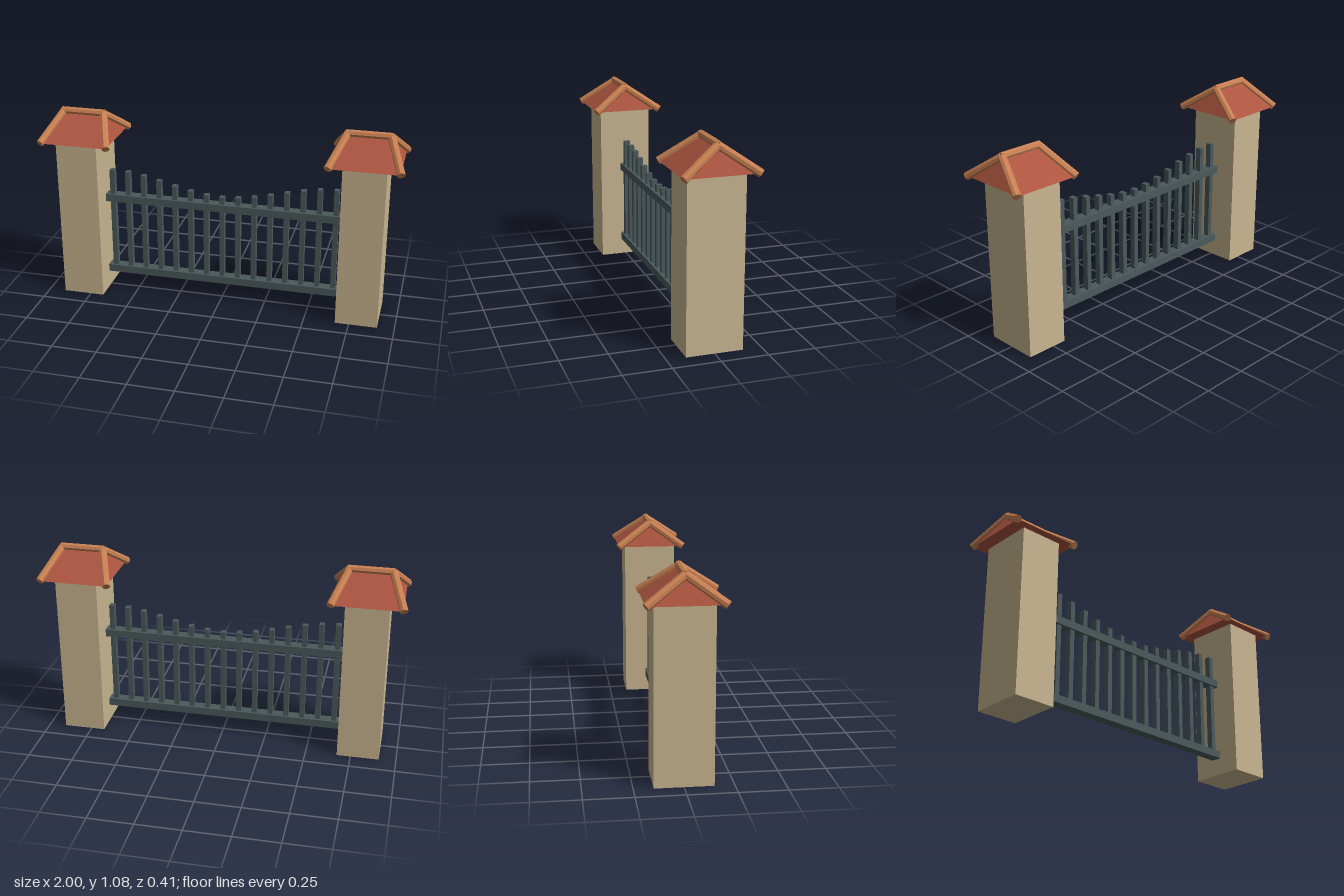
import * as THREE from 'three';

const mat = (name, color) => {
  const m = new THREE.MeshStandardMaterial({ color, flatShading: true });
  m.name = name;
  return m;
};

function add(parent, name, geometry, material, x = 0, y = 0, z = 0) {
  const mesh = new THREE.Mesh(geometry, material);
  mesh.name = name;
  mesh.position.set(x, y, z);
  parent.add(mesh);
  return mesh;
}

// Round tile log between two points
function addLog(parent, name, a, b, radius, material) {
  const dir = b.clone().sub(a);
  const log = add(parent, name, new THREE.CylinderGeometry(radius, radius, dir.length(), 8), material);
  log.position.copy(a).add(b).multiplyScalar(0.5);
  log.quaternion.setFromUnitVectors(new THREE.Vector3(0, 1, 0), dir.normalize());
}

// Hipped roof: rectangular base rising to a ridge along x
function hipRoof(halfX, halfZ, ridgeHalf, height) {
  const geometry = new THREE.BufferGeometry();
  geometry.setAttribute('position', new THREE.Float32BufferAttribute([
    -halfX, 0, halfZ, halfX, 0, halfZ, halfX, 0, -halfZ, -halfX, 0, -halfZ,
    -ridgeHalf, height, 0, ridgeHalf, height, 0,
  ], 3));
  geometry.setIndex([
    0, 1, 5, 0, 5, 4, // front slope
    2, 3, 4, 2, 4, 5, // back slope
    1, 2, 5, 3, 0, 4, // hip ends
    0, 3, 2, 0, 2, 1, // underside
  ]);
  const flat = geometry.toNonIndexed();
  flat.computeVertexNormals();
  return flat;
}

export function createModel() {
  const stone = mat('sandstone', 0xc9b691);
  const tile = mat('red roof tile', 0xac5540);
  const trim = mat('orange ridge tile', 0xc88052);
  const iron = mat('dark iron', 0x4b595b);

  const gate = new THREE.Group();
  gate.name = 'gate';

  // Pillars with tiled hip roofs
  for (const side of [-1, 1]) {
    const pillar = new THREE.Group();
    pillar.name = side > 0 ? 'leftPillar' : 'rightPillar';
    pillar.position.x = side * 0.79;
    gate.add(pillar);
    add(pillar, 'post', new THREE.BoxGeometry(0.232, 0.922, 0.3), stone, 0, 0.461, 0);
    add(pillar, 'roof', hipRoof(0.187, 0.193, 0.115, 0.133), tile, 0, 0.922, 0);

    const v = (x, y, z) => new THREE.Vector3(x, y, z);
    addLog(pillar, 'ridgeLog', v(-0.122, 1.058, 0), v(0.122, 1.058, 0), 0.021, trim);
    for (const sx of [-1, 1]) {
      for (const sz of [-1, 1]) {
        addLog(pillar, 'hipLog', v(sx * 0.115, 1.055, 0), v(sx * 0.189, 0.922, sz * 0.193), 0.022, trim);
      }
    }
  }

  // Fence rails between the pillars
  const fence = new THREE.Group();
  fence.name = 'fence';
  gate.add(fence);
  const rail = new THREE.BoxGeometry(1.35, 0.043, 0.058);
  add(fence, 'lowerRail', rail, iron, 0, 0.118, 0);
  add(fence, 'upperRail', rail, iron, 0, 0.563, 0);

  // Pickets whose tops follow a dipping cosine curve
  const bottom = 0.11;
  for (let i = -7; i <= 7; i++) {
    const top = 0.678 - 0.052 * Math.cos((Math.PI * i) / 7);
    add(fence, 'picket', new THREE.BoxGeometry(0.028, top - bottom, 0.034), iron,
      i * 0.0908, (top + bottom) / 2, 0);
  }

  return gate;
}
